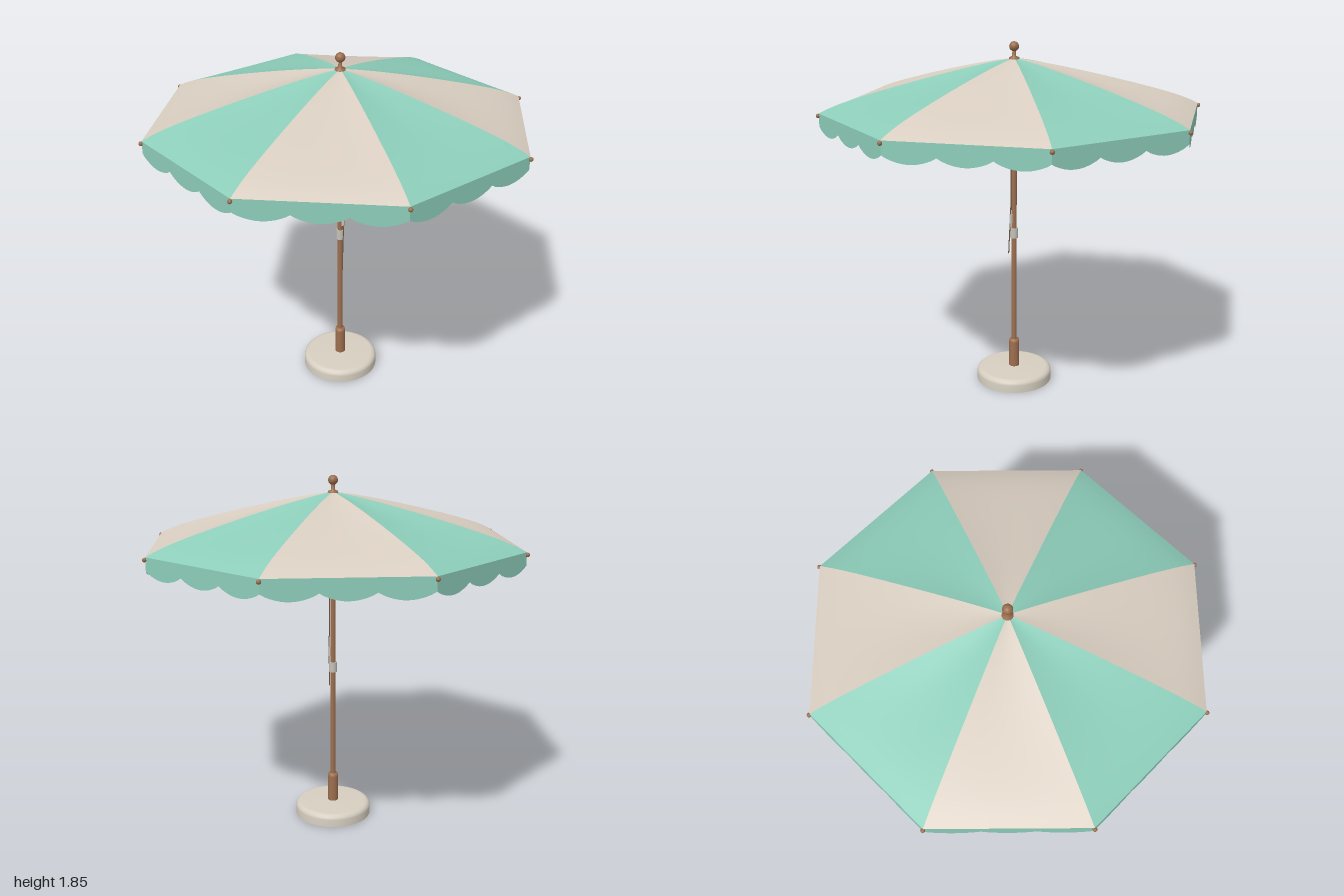
import * as THREE from 'three';

const R = 0.985, SIDES = 8, STEP = (Math.PI * 2) / SIDES, RIM = 1.515;
const mat = (name, color, side = THREE.FrontSide) => {
  const m = new THREE.MeshStandardMaterial({ color, side });
  m.name = name;
  return m;
};

// Height of the canopy along a rib, t = 0 at the peak and 1 at the rim
const canopyY = (t) => 1.77 - 0.235 * Math.pow(t, 1.2) - 0.02 * Math.pow(t, 12);

// Smooth surface from a function of (u, v)
function surface(nu, nv, fn) {
  const pos = [], idx = [];
  for (let j = 0; j <= nv; j++)
    for (let i = 0; i <= nu; i++) pos.push(...fn(i / nu, j / nv));
  for (let j = 0; j < nv; j++)
    for (let i = 0; i < nu; i++) {
      const a = j * (nu + 1) + i, b = a + 1, c = a + nu + 1, d = c + 1;
      idx.push(a, b, c, b, d, c);
    }
  const g = new THREE.BufferGeometry();
  g.setAttribute('position', new THREE.Float32BufferAttribute(pos, 3));
  g.setIndex(idx);
  g.computeVertexNormals();
  return g;
}

// Point on the octagon between corners k and k + 1
function across(k, u, r) {
  const a = k * STEP, b = a + STEP;
  return [
    r * ((1 - u) * Math.cos(a) + u * Math.cos(b)),
    r * ((1 - u) * Math.sin(a) + u * Math.sin(b)),
  ];
}

export function createModel() {
  const group = new THREE.Group();
  group.name = 'parasol';
  const green = mat('green fabric', 0x8dcdba, THREE.DoubleSide);
  const beige = mat('beige fabric', 0xd8cdc0, THREE.DoubleSide);
  const wood = mat('wood', 0x9c6e4e);
  const stone = mat('stone', 0xd6cec0);
  const metal = mat('light metal', 0xc4c0b8);
  const cordMat = mat('cord', 0x6b5a4a);

  const add = (name, geo, material, x = 0, y = 0, z = 0) => {
    const m = new THREE.Mesh(geo, material);
    m.name = name;
    m.position.set(x, y, z);
    group.add(m);
    return m;
  };
  const lathe = (pts, seg = 32) =>
    new THREE.LatheGeometry(pts.map((p) => new THREE.Vector2(...p)), seg);
  const cyl = (r, h, seg = 24) => new THREE.CylinderGeometry(r, r, h, seg);

  // Weighted base with rounded rim
  add('base', lathe([[0, 0], [0.205, 0], [0.205, 0], [0.205, 0.04], [0.202, 0.053],
    [0.192, 0.063], [0.175, 0.068], [0, 0.072]], 48), stone);

  // Pole, socket and its collar
  add('pole', cyl(0.014, 1.71), wood, 0, 0.915);
  add('socket', lathe([[0.028, 0.06], [0.028, 0.215], [0.028, 0.215], [0.025, 0.228], [0.013, 0.23]]), wood);

  // Finial
  add('finialBall', new THREE.SphereGeometry(0.025, 24, 16), wood, 0, 1.829);
  add('finialNeck', lathe([[0.028, 1.757], [0.026, 1.774], [0.01, 1.78], [0.009, 1.81]]), wood);

  // Top hub and sliding runner
  add('topHub', cyl(0.03, 0.035), wood, 0, 1.735);
  add('runner', lathe([[0.014, 1.37], [0.023, 1.37], [0.025, 1.395], [0.029, 1.398],
    [0.029, 1.428], [0.026, 1.434], [0.014, 1.434]]), wood);

  // Clamp band, cleat and hanging pull cord
  add('clampBand', cyl(0.021, 0.055), metal, 0, 0.843);
  add('cleat', new THREE.BoxGeometry(0.014, 0.05, 0.012), metal, 0.021, 0.925, 0.004);
  const cordPath = new THREE.CatmullRomCurve3([
    [0.02, 1.4, 0.004], [0.02, 1.15, 0.005], [0.024, 0.94, 0.006],
    [0.025, 0.84, 0.012], [0.025, 0.73, 0.018],
  ].map((p) => new THREE.Vector3(...p)));
  add('pullCord', new THREE.TubeGeometry(cordPath, 30, 0.0028, 6), cordMat);

  for (let k = 0; k < SIDES; k++) {
    // Fabric panel, sagging slightly between ribs
    add('canopyPanel', surface(16, 24, (u, v) => {
      const t = 0.012 + 0.988 * v;
      const [x, z] = across(k, 1 - u, R * t);
      const sag = 0.012 * Math.sin(Math.PI * u) * Math.sin(Math.PI * t);
      return [x, canopyY(t) - sag, z];
    }), k % 2 ? beige : green);

    // Scalloped valance, three lobes on each side
    add('valance', surface(36, 3, (u, v) => {
      const [x, z] = across(k, 1 - u, R);
      const drop = 0.066 + 0.036 * Math.pow(Math.abs(Math.sin(3 * Math.PI * u)), 0.8);
      return [x, RIM - drop * v, z];
    }), green);

    // Rib following the canopy, strut and rib tip
    const a = k * STEP, c = Math.cos(a), s = Math.sin(a);
    const ribPoint = (t) => new THREE.Vector3(R * t * c, canopyY(t) - 0.014, R * t * s);
    const ribPath = new THREE.CatmullRomCurve3([0.02, 0.25, 0.5, 0.75, 0.93, 0.995].map(ribPoint));
    add('rib', new THREE.TubeGeometry(ribPath, 24, 0.008, 8), wood);

    const strutPath = new THREE.LineCurve3(
      new THREE.Vector3(0.024 * c, 1.415, 0.024 * s), ribPoint(0.45));
    add('strut', new THREE.TubeGeometry(strutPath, 1, 0.006, 8), wood);
    add('ribTip', new THREE.SphereGeometry(0.011, 12, 8), wood, 0.989 * c, 1.503, 0.989 * s);
  }
  return group;
}
